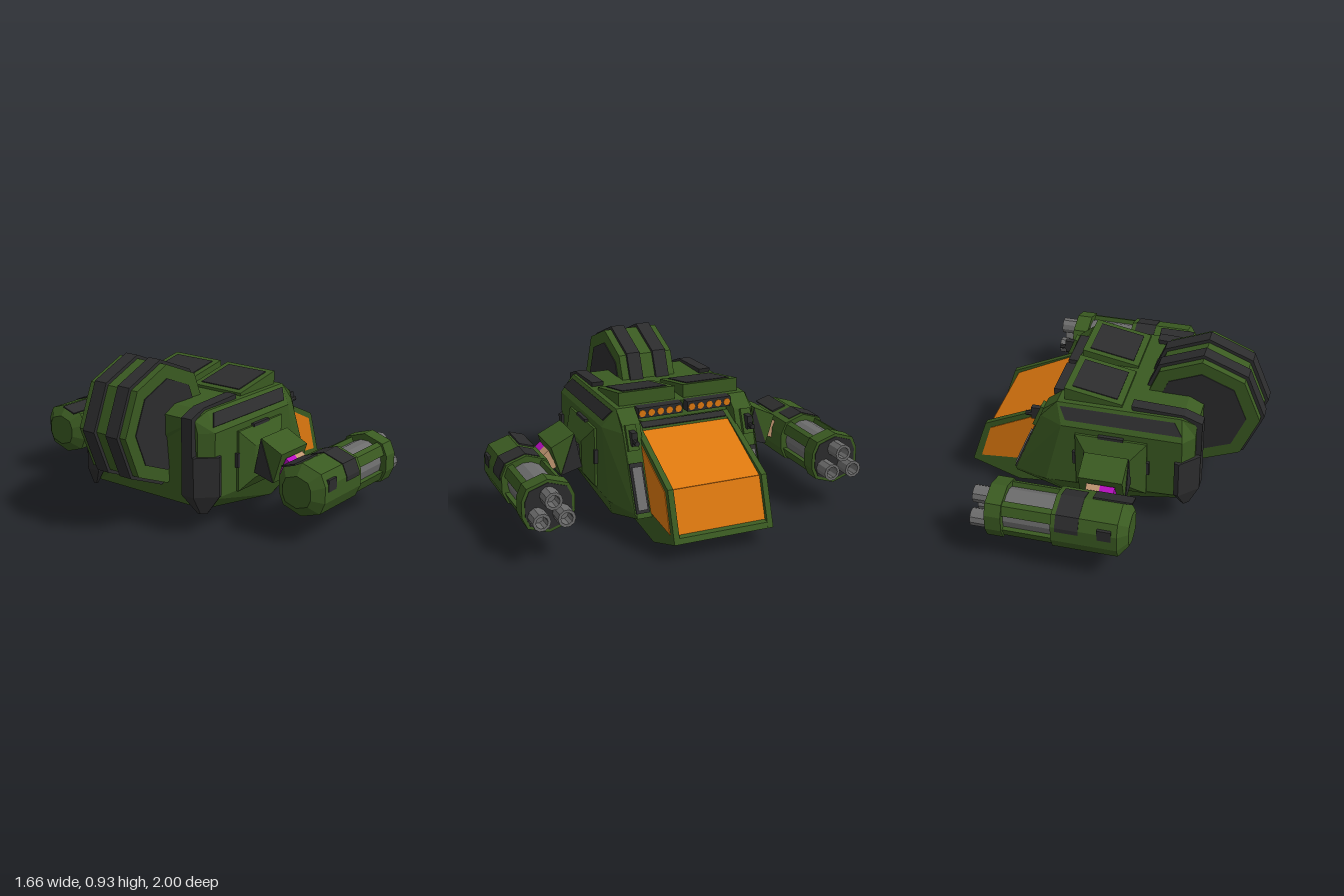
import * as THREE from 'three';

const mat = (name, color) => Object.assign(new THREE.MeshStandardMaterial({ color, flatShading: true }), { name });

export function createModel() {
  const green = mat('armour green', 0x3a5a21);
  const dark = mat('dark panel', 0x2c2c2d);
  const orange = mat('amber glass', 0xdd780f);
  const grey = mat('gunmetal', 0x6c6c6c);
  const magenta = mat('magenta joint', 0xb80fc0);
  const tan = mat('tan joint', 0xc09570);
  const root = new THREE.Group();
  root.name = 'gunship';

  const add = (parent, name, geo, m) => {
    const mesh = new THREE.Mesh(geo, m);
    mesh.name = name;
    parent.add(mesh);
    return mesh;
  };
  const box = (parent, name, m, [x0, x1], [y0, y1], [z0, z1]) => {
    const mesh = add(parent, name, new THREE.BoxGeometry(x1 - x0, y1 - y0, z1 - z0), m);
    mesh.position.set((x0 + x1) / 2, (y0 + y1) / 2, (z0 + z1) / 2);
  };
  // Closed solid through rings of equal length, always wound outwards
  const loft = (rings) => {
    const tris = [], n = rings[0].length;
    for (let r = 0; r < rings.length - 1; r++)
      for (let i = 0; i < n; i++) {
        const a = rings[r][i], b = rings[r][(i + 1) % n], c = rings[r + 1][(i + 1) % n], d = rings[r + 1][i];
        tris.push([a, b, c], [a, c, d]);
      }
    const first = rings[0], last = rings[rings.length - 1];
    for (let i = 1; i < n - 1; i++) {
      tris.push([first[0], first[i + 1], first[i]], [last[0], last[i], last[i + 1]]);
    }
    let volume = 0;
    const v = (p) => new THREE.Vector3(...p);
    for (const [a, b, c] of tris) volume += v(a).dot(v(b).cross(v(c)));
    if (volume < 0) tris.forEach((t) => t.reverse());
    const geo = new THREE.BufferGeometry();
    geo.setAttribute('position', new THREE.Float32BufferAttribute(tris.flat(2), 3));
    geo.computeVertexNormals();
    return geo;
  };
  // Thin plate: a polygon raised by an offset
  const plate = (pts, [dx, dy, dz]) => loft([pts, pts.map(([x, y, z]) => [x + dx, y + dy, z + dz])]);
  // Side profile in x, y extruded between two z values
  const slab = (pts, z0, z1) => {
    const geo = new THREE.ExtrudeGeometry(new THREE.Shape(pts.map((p) => new THREE.Vector2(...p))),
      { depth: z1 - z0, bevelEnabled: false });
    return geo.translate(0, 0, z0);
  };

  // Faceted hull: half sections of [x, y, z], mirrored into rings
  const section = (half) => [...half, ...half.map(([x, y, z]) => [x, y, -z]).reverse()];
  const hullFront = [[0.27, 0.68, 0.385], [0.23, 0.575, 0.455], [0.33, 0.18, 0.455], [0.18, 0.036, 0.385]];
  add(root, 'hull', loft([
    [[-0.5, 0.64, 0.365], [-0.5, 0.575, 0.385], [-0.5, 0.22, 0.385], [-0.45, 0.14, 0.365]],
    [[-0.42, 0.68, 0.385], [-0.44, 0.575, 0.455], [-0.44, 0.21, 0.455], [-0.4, 0.132, 0.385]],
    hullFront,
  ].map(section)), green);

  // Cockpit nose with recessed roof and front glass
  const nose = [[0.27, 0.59], [0.735, 0.372], [0.827, 0.1], [0.55, 0], [0.18, 0.035]];
  add(root, 'cockpit', slab([nose[0], [0.318, 0.568], [0.325, 0.552], [0.708, 0.356], [0.785, 0.135], [0.816, 0.13],
    ...nose.slice(2)], -0.256, 0.256), green);
  const across = (x0, y0, x1, y1, z) => [[x0, y0, z], [x1, y1, z], [x1, y1, -z], [x0, y0, -z]];
  add(root, 'roofWindow', plate(across(0.325, 0.552, 0.708, 0.356, 0.255), [0.002, 0.005, 0]), orange);
  add(root, 'frontWindow', plate(across(0.708, 0.358, 0.785, 0.135, 0.255), [0.005, 0.002, 0]), orange);
  add(root, 'roofStrip', plate(across(0.28, 0.586, 0.32, 0.568, 0.25), [0.002, 0.005, 0]), dark);

  // Round rear engine drum with two dark straps
  const drum = (name, r, z0, z1, m) => {
    const mesh = add(root, name, new THREE.CylinderGeometry(r, r, z1 - z0, 8).rotateX(Math.PI / 2), m);
    mesh.position.set(-0.48, 0.577, (z0 + z1) / 2);
  };
  drum('engineDrum', 0.33, -0.162, 0.162, green);
  for (const s of [-1, 1]) {
    drum('engineStrap', 0.35, s * 0.08 - 0.04, s * 0.08 + 0.04, dark);
    drum('engineFace', 0.255, s * 0.163 - 0.004, s * 0.163 + 0.004, dark);
  }

  // Ten-sided gun cross-section placed at x and scaled
  const gunY = 0.29, gunZ = 0.852;
  const gunHalf = [[0, 0.148], [0.115, 0.11], [0.144, 0.045], [0.144, -0.045], [0.115, -0.11], [0, -0.148]];
  const gunOutline = [...gunHalf, ...gunHalf.slice(1, 5).reverse().map(([z, y]) => [-z, y])];
  const gunRing = (x, s = 1) => gunOutline.map(([z, y]) => [x, gunY + y * s, gunZ + z * s]);
  const tube = (parent, name, m, r, x0, x1, y, z, sides) => {
    const mesh = add(parent, name, new THREE.CylinderGeometry(r, r, x1 - x0, sides).rotateZ(Math.PI / 2), m);
    mesh.position.set((x0 + x1) / 2, y, z);
  };
  const barrelProfile = [[0.049, 0], [0.049, 0.105], [0.033, 0.105], [0.033, 0.03], [0, 0.03]].map((p) => new THREE.Vector2(...p));

  const buildGun = (side) => {
    const gun = new THREE.Group();
    gun.name = 'gun';
    side.add(gun);
    add(gun, 'gunBody', loft([gunRing(-0.265, 0.6), gunRing(-0.215), gunRing(0.14)]), green);
    add(gun, 'gunCollar', loft([gunRing(0.41), gunRing(0.5)]), green);
    add(gun, 'muzzlePlate', loft([gunRing(0.498, 0.88), gunRing(0.504, 0.88)]), dark);
    tube(gun, 'barrelCore', grey, 0.112, 0.13, 0.42, gunY, gunZ, 14);
    // Corner rails between the barrel openings
    for (const sy of [-1, 1]) for (const sz of [-1, 1]) {
      const p = [[0.08, 0.113], [0.108, 0.1], [0.128, 0.048], [0.09, 0.045], [0.065, 0.07]];
      add(gun, 'gunRail', loft([0.13, 0.42].map((x) => p.map(([z, y]) => [x, gunY + sy * y, gunZ + sz * z]))), green);
    }
    // Three hollow barrels
    for (const [dy, dz] of [[0.062, 0], [-0.044, 0.067], [-0.044, -0.067]]) {
      const barrel = add(gun, 'barrel', new THREE.LatheGeometry(barrelProfile, 10).rotateZ(-Math.PI / 2), grey);
      barrel.position.set(0.49, gunY + dy, gunZ + dz);
    }
    // Dark strap folded over the upper outer faces
    const strap = [[-0.08, 0.121], [0, 0.148], [0.115, 0.11], [0.144, 0.045], [0.144, 0.02]];
    for (let i = 0; i < 4; i++) {
      const edge = [strap[i], strap[i + 1]];
      const at = (x, k) => edge.map(([z, y]) => [x, gunY + y * k, gunZ + z * k]);
      const ring = (x) => [...at(x, 1), ...at(x, 1.03).reverse()];
      add(gun, 'gunStrap', loft([ring(-0.01), ring(0.115)]), dark);
    }
    add(gun, 'gunTopPanel', plate([[-0.26, gunY + 0.115, gunZ - 0.1], [-0.05, gunY + 0.115, gunZ - 0.1],
      [-0.05, gunY + 0.143, gunZ - 0.015], [-0.26, gunY + 0.143, gunZ - 0.015]], [0, 0.008, -0.003]), dark);
    box(gun, 'gunVent', dark, [-0.185, -0.11], [0.3, 0.365], [0.97, 0.999]);
  };

  const buildSide = (side) => {
    // Cheek block beside the cockpit and the cockpit's side frame
    add(side, 'cheek', loft([
      [...hullFront, [0.18, 0.036, 0.28], [0.27, 0.68, 0.28]],
      [[0.35, 0.615, 0.385], [0.365, 0.57, 0.385], [0.53, 0.17, 0.385], [0.53, 0.14, 0.37], [0.53, 0.14, 0.28], [0.35, 0.615, 0.28]],
    ]), green);
    add(side, 'cockpitFrame', slab(nose, 0.255, 0.287), green);

    // Glass and dark panels
    add(side, 'sideWindow', plate([[0.37, 0.512, 0.287], [0.705, 0.348, 0.287], [0.772, 0.138, 0.287], [0.525, 0.16, 0.287]], [0, 0, 0.004]), orange);
    add(side, 'shoulderPanel', plate([[-0.435, 0.602, 0.437], [-0.385, 0.662, 0.397], [0.25, 0.662, 0.397], [0.21, 0.602, 0.437]], [0, 0.004, 0.005]), dark);

    // Raised roof hatch
    add(side, 'roofHatch', slab([[-0.087, 0.67], [0.235, 0.67], [0.235, 0.755], [-0.087, 0.695]], 0.025, 0.355), green);
    add(side, 'hatchPanel', plate([[-0.052, 0.7015, 0.06], [0.2, 0.7485, 0.06], [0.2, 0.7485, 0.32], [-0.052, 0.7015, 0.32]], [-0.001, 0.005, 0]), dark);

    // Row of amber lamps
    box(side, 'lampBar', dark, [0.26, 0.318], [0.625, 0.682], [0.015, 0.275]);
    for (let i = 0; i < 5; i++) tube(side, 'lamp', orange, 0.02, 0.31, 0.321, 0.652, 0.04 + i * 0.053, 8);

    // Front cheek lamp, its frame and the small clamp above
    const cheek = (y0, y1, z0, z1) => {
      const x = (y) => 0.365 + (0.57 - y) * 0.4125;
      return [[x(y0), y0, z0], [x(y1), y1, z0], [x(y1), y1, z1], [x(y0), y0, z1]];
    };
    add(side, 'cheekFrame', plate(cheek(0.17, 0.42, 0.302, 0.378), [0.008, 0.003, 0]), dark);
    add(side, 'cheekLamp', plate(cheek(0.185, 0.4, 0.313, 0.367), [0.015, 0.006, 0]), grey);
    add(side, 'clampPlate', plate(cheek(0.48, 0.61, 0.312, 0.372), [0.02, 0.008, 0]), green);
    box(side, 'clamp', dark, [0.36, 0.43], [0.515, 0.59], [0.327, 0.357]);
    tube(side, 'clampPin', dark, 0.014, 0.36, 0.465, 0.54, 0.342, 8);

    // Rail over the rear edge and the corner guard below it
    add(side, 'rearRail', slab([[-0.53, 0.655], [-0.53, 0.44], [-0.49, 0.44], [-0.49, 0.62], [-0.4, 0.66], [-0.15, 0.67],
      [-0.14, 0.706], [-0.43, 0.694]], 0.3, 0.368), dark);
    const guard = [[-0.53, 0.3], [-0.53, 0.38], [-0.43, 0.478], [-0.403, 0.47], [-0.403, 0.42], [-0.48, 0.3]];
    const guardRing = (y, k) => guard.map(([x, z]) => [-0.46 + (x + 0.46) * k, y, 0.39 + (z - 0.39) * k]);
    add(side, 'cornerGuard', loft([guardRing(0.445, 1), guardRing(0.225, 1), guardRing(0.12, 0.25)]), dark);

    // Arm mount on the hull side
    const rect = (z, x0, x1, y0, y1) => [[x0, y0, z], [x1, y0, z], [x1, y1, z], [x0, y1, z]];
    add(side, 'armMount', loft([rect(0.45, -0.25, 0.15, 0.2, 0.54), rect(0.468, -0.25, 0.15, 0.2, 0.54),
      rect(0.518, -0.165, 0.075, 0.27, 0.45)]), green);
    box(side, 'mountSlotTop', dark, [-0.12, 0.02], [0.535, 0.552], [0.45, 0.475]);
    for (const x of [-0.265, 0.15]) box(side, 'mountSlot', dark, [x, x + 0.016], [0.34, 0.42], [0.45, 0.475]);
    box(side, 'armSocket', dark, [-0.14, 0.04], [0.3, 0.42], [0.51, 0.57]);

    // Angled arm: a dark inner wedge under a green outer block
    const wedge = (pts, x0, x1) => loft([x0, x1].map((x) => pts.map(([z, y]) => [x, y, z])));
    add(side, 'arm', wedge([[0.557, 0.5], [0.692, 0.435], [0.64, 0.265], [0.54, 0.3]], -0.17, 0.073), green);
    const inner = [[0.557, 0.498], [0.64, 0.266], [0.518, 0.3]];
    add(side, 'armEndPanel', wedge(inner, 0.072, 0.078), dark);
    add(side, 'armEndPanel', wedge(inner, -0.175, -0.169), dark);

    // Two-tone wrist joint
    const wrist = [[0.745, 0.36], [0.692, 0.405], [0.645, 0.3], [0.71, 0.275]];
    add(side, 'wristRear', wedge(wrist, -0.13, -0.05), magenta);
    add(side, 'wristFront', wedge(wrist, -0.05, 0.025), tan);
    buildGun(side);
  };

  for (const s of [1, -1]) {
    const side = new THREE.Group();
    side.name = s > 0 ? 'leftSide' : 'rightSide';
    buildSide(side);
    side.scale.z = s;
    root.add(side);
  }
  return root;
}
